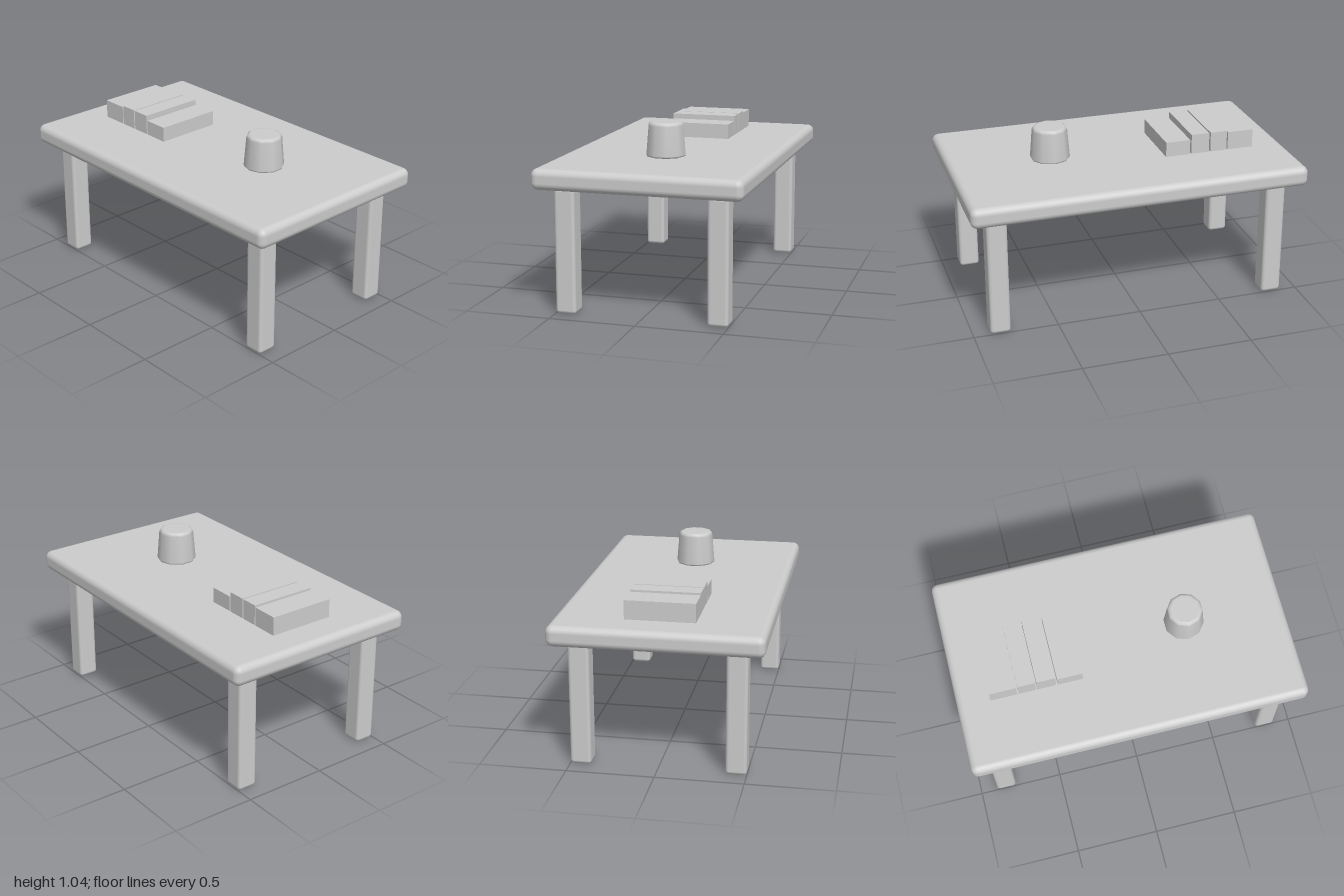
import * as THREE from 'three';
import { RoundedBoxGeometry } from 'three/addons/geometries/RoundedBoxGeometry.js';

export function createModel() {
  const model = new THREE.Group();
  model.name = 'table';
  const grey = new THREE.MeshStandardMaterial({ color: 0xcccccc });
  grey.name = 'plain grey';

  const add = (name, geometry, x, y, z) => {
    const mesh = new THREE.Mesh(geometry, grey);
    mesh.name = name;
    mesh.position.set(x, y, z);
    model.add(mesh);
  };

  // Tabletop with softened edges
  const topY = 0.84;
  add('tabletop', new RoundedBoxGeometry(2, 0.12, 1.2, 3, 0.04), 0, 0.78, 0);

  // Four legs, inset from the corners
  const legGeometry = new RoundedBoxGeometry(0.12, 0.72, 0.12, 2, 0.02);
  for (const [side, sx] of [['left', 1], ['right', -1]]) {
    for (const [end, sz] of [['Front', 1], ['Back', -1]]) {
      add(`${side}${end}Leg`, legGeometry, sx * 0.84, 0.36, sz * 0.44);
    }
  }

  // Row of four sharp-edged books: x start, x end, height
  const books = [
    [-0.803, -0.645, 0.11],
    [-0.638, -0.535, 0.12],
    [-0.526, -0.415, 0.12],
    [-0.406, -0.256, 0.09],
  ];
  books.forEach(([x0, x1, h], i) => {
    add(`book${i + 1}`, new THREE.BoxGeometry(x1 - x0, h, 0.4), (x0 + x1) / 2, topY + h / 2, 0);
  });

  // Upturned ten-sided cup with bevelled rims
  const profile = [
    [0, 0], [0.106, 0], [0.114, 0.003], [0.118, 0.012],
    [0.104, 0.18], [0.1, 0.193], [0.088, 0.2], [0.08, 0.2], [0, 0.2],
  ].map(([r, y]) => new THREE.Vector2(r, y));
  add('cup', new THREE.LatheGeometry(profile, 10), 0.4, topY, 0);

  return model;
}
